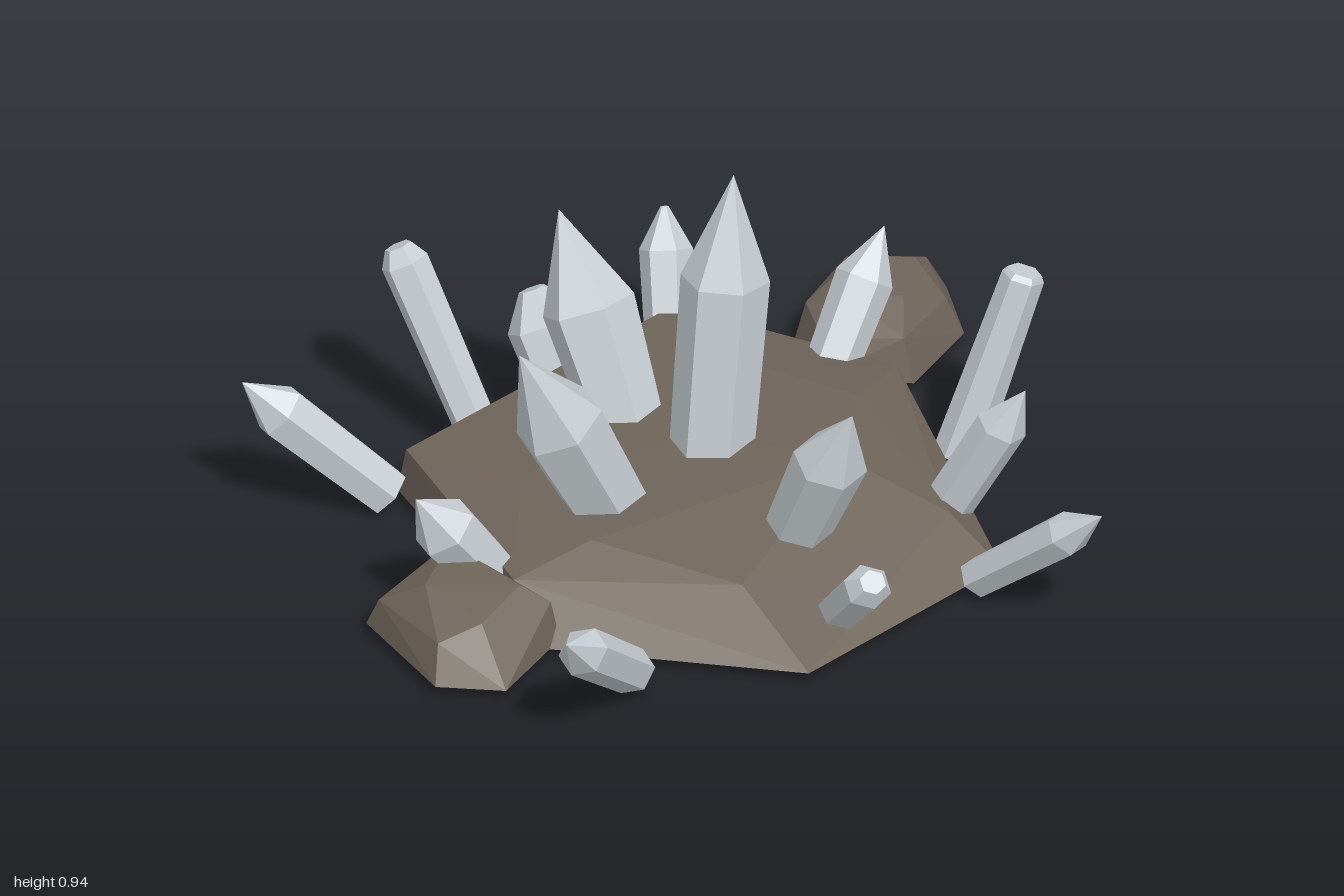
import * as THREE from 'three';
import { ConvexGeometry } from 'three/addons/geometries/ConvexGeometry.js';

export function createModel() {
  const model = new THREE.Group();
  model.name = 'crystalCluster';
  const rock = new THREE.MeshStandardMaterial({ name: 'brown rock', color: 0x6e645a, flatShading: true });
  const crystal = new THREE.MeshStandardMaterial({ name: 'pale crystal', color: 0xc6cdd2, flatShading: true });

  // Faceted boulder: flat base outline (x, z) plus upper corners (x, y, z)
  function addRock(name, base, upper) {
    const pts = base.map(([x, z]) => new THREE.Vector3(x, 0.04, z));
    upper.forEach((p) => pts.push(new THREE.Vector3(...p)));
    const mesh = new THREE.Mesh(new ConvexGeometry(pts), rock);
    mesh.name = name;
    model.add(mesh);
  }

  addRock('baseRock',
    [[-0.62, -0.46], [0.19, -0.74], [0.3, -0.69], [0.69, -0.33], [0.58, 0.49], [-0.06, 0.74], [-0.62, 0.35]],
    [[-0.61, 0.17, -0.43], [-0.61, 0.15, 0.2], [-0.45, 0.217, -0.1], [-0.4, 0.21, 0.2], [0.18, 0.225, -0.66],
      [0.3, 0.2, -0.65], [0.3, 0.245, 0.16], [0.3, 0.243, -0.3], [0.48, 0.21, -0.13], [0.67, 0.14, -0.32],
      [0, 0.238, -0.1], [-0.12, 0.165, 0.48], [0.5, 0.14, 0.35]]);

  addRock('backRock',
    [[0.53, -0.49], [0.56, -0.68], [0.77, -0.85], [1.0, -0.74], [0.95, -0.53], [0.74, -0.37]],
    [[0.56, 0.13, -0.52], [0.59, 0.14, -0.68], [0.77, 0.14, -0.83], [0.94, 0.15, -0.73], [0.91, 0.14, -0.55],
      [0.73, 0.15, -0.41], [0.66, 0.2, -0.56], [0.75, 0.21, -0.72], [0.88, 0.2, -0.67], [0.78, 0.2, -0.52]]);

  addRock('sideRock',
    [[-0.95, 0.07], [-0.7, -0.03], [-0.58, 0.08], [-0.55, 0.34], [-0.77, 0.5], [-0.92, 0.41]],
    [[-0.93, 0.12, 0.1], [-0.7, 0.15, -0.01], [-0.85, 0.2, 0.2], [-0.72, 0.205, 0.06],
      [-0.64, 0.2, 0.3], [-0.57, 0.15, 0.33], [-0.78, 0.17, 0.38], [-0.89, 0.13, 0.36]]);

  // Six-sided crystal from base to tip; cut is the radius of a blunt tip
  const up = new THREE.Vector3(0, 1, 0);
  function addCrystal(name, from, to, r0, r1, shoulder, cut = 0) {
    const base = new THREE.Vector3(...from);
    const axis = new THREE.Vector3(...to).sub(base);
    const h = axis.length();
    const profile = [[0, 0], [r0, 0], [r1, h * shoulder]];
    if (cut) profile.push([cut, h]);
    profile.push([0, h]);
    const geo = new THREE.LatheGeometry(profile.map((p) => new THREE.Vector2(...p)), 6);
    geo.scale(1, 1, 0.92);
    const mesh = new THREE.Mesh(geo, crystal);
    mesh.name = name;
    mesh.position.copy(base);
    mesh.quaternion.setFromUnitVectors(up, axis.normalize());
    model.add(mesh);
  }

  // Large crystals
  addCrystal('centreCrystal', [0.03, 0.05, -0.05], [0.13, 0.955, -0.11], 0.105, 0.113, 0.69);
  addCrystal('rightLargeCrystal', [-0.21, 0.06, 0.02], [-0.54, 0.715, 0.08], 0.095, 0.115, 0.64);
  addCrystal('backLargeCrystal', [-0.06, 0.06, -0.24], [-0.15, 0.69, -0.53], 0.09, 0.12, 0.64);
  addCrystal('frontLargeCrystal', [0.09, 0.07, 0.27], [0.16, 0.605, 0.52], 0.08, 0.097, 0.68);

  // Small crystals around the rim
  addCrystal('rightBackCrystal', [-0.66, 0.06, -0.43], [-1.0, 0.4, -0.55], 0.065, 0.073, 0.74);
  addCrystal('rightCrystal', [-0.59, 0.07, 0.08], [-0.83, 0.385, 0.1], 0.07, 0.085, 0.66);
  addCrystal('rightFrontCrystal', [-0.47, 0.07, 0.59], [-0.77, 0.373, 0.85], 0.062, 0.066, 0.74);
  addCrystal('backRightCrystal', [-0.35, 0.06, -0.54], [-0.48, 0.54, -0.76], 0.055, 0.062, 0.92, 0.035);
  addCrystal('backCrystal', [-0.08, 0.06, -0.58], [-0.13, 0.34, -0.73], 0.085, 0.098, 0.72, 0.035);
  addCrystal('backLeftCrystal', [0.23, 0.06, -0.7], [0.29, 0.395, -0.86], 0.06, 0.068, 0.72, 0.01);
  addCrystal('leftBackCrystal', [0.48, 0.06, -0.37], [0.72, 0.43, -0.5], 0.065, 0.075, 0.7);
  addCrystal('leftCrystal', [0.69, 0.06, 0], [0.865, 0.55, 0.01], 0.066, 0.055, 0.97, 0.045);
  addCrystal('leftFrontCrystal', [0.53, 0.06, 0.24], [0.69, 0.465, 0.39], 0.065, 0.067, 0.72);
  addCrystal('frontLeftCrystal', [0.49, 0.06, 0.54], [0.68, 0.37, 0.86], 0.056, 0.062, 0.72);
  addCrystal('frontCrystal', [0.1, 0.07, 0.56], [0.1, 0.28, 0.77], 0.058, 0.063, 0.85, 0.035);

  return model;
}
